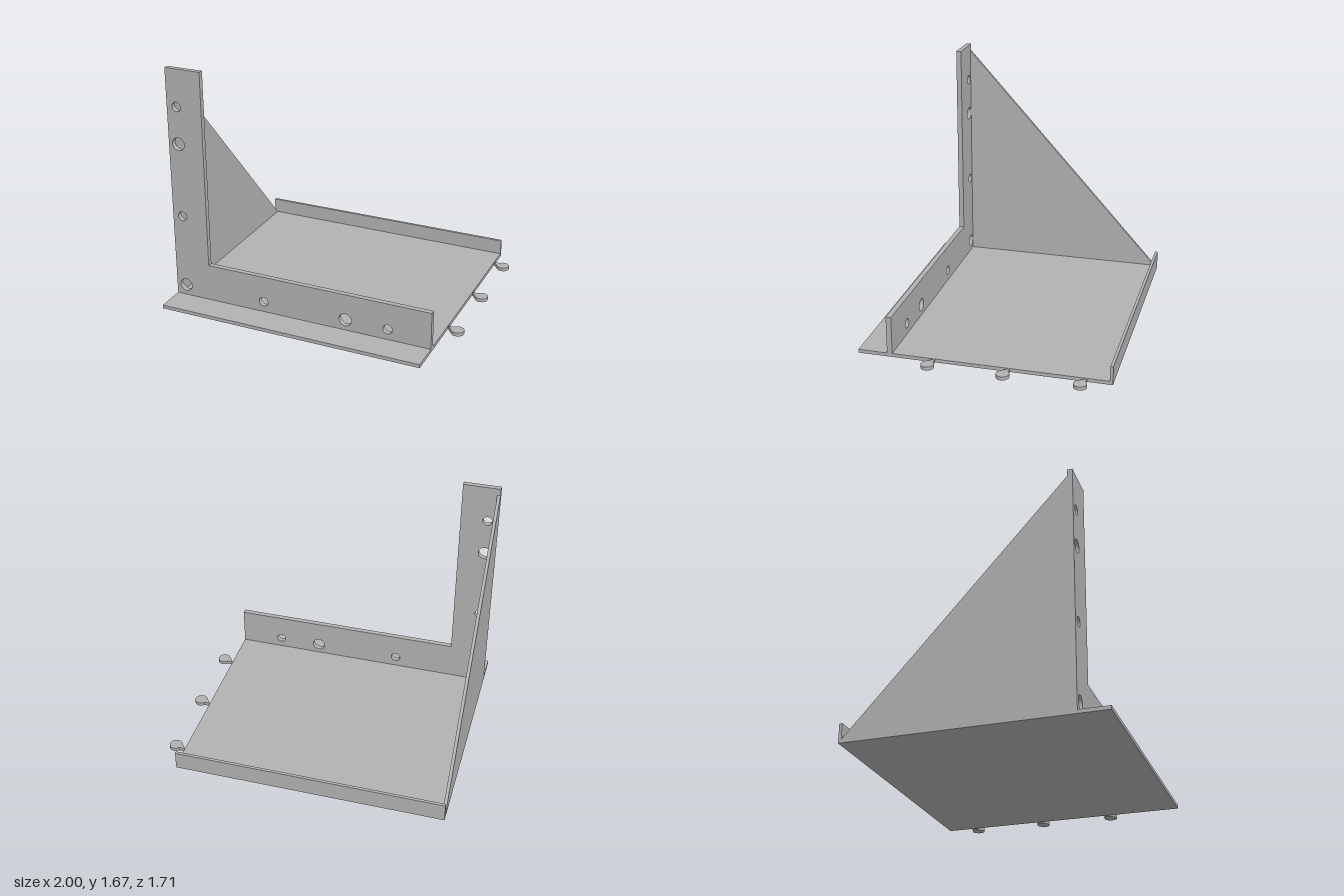
import * as THREE from 'three';
import { toCreasedNormals } from 'three/addons/utils/BufferGeometryUtils.js';

export function createModel() {
  const group = new THREE.Group();
  const grey = new THREE.MeshStandardMaterial({ color: 0xb2b2b2 });
  grey.name = 'grey';

  const T = 0.025; // floor thickness
  const left = -1, right = 0.88, depth = 0.855;
  const wallBack = 0.617, wallFront = 0.653;

  const add = (name, geometry) => {
    const mesh = new THREE.Mesh(geometry, grey);
    mesh.name = name;
    group.add(mesh);
    return mesh;
  };
  const box = (name, x0, x1, y0, y1, z0, z1) =>
    add(name, new THREE.BoxGeometry(x1 - x0, y1 - y0, z1 - z0))
      .position.set((x0 + x1) / 2, (y0 + y1) / 2, (z0 + z1) / 2);
  const polygon = (points) => new THREE.Shape(points.map(([x, y]) => new THREE.Vector2(x, y)));
  const extrude = (shape, thickness) => toCreasedNormals(
    new THREE.ExtrudeGeometry(shape, { depth: thickness, bevelEnabled: false, curveSegments: 24 }), 0.6);

  // Floor plate and low rear lip
  box('floorPlate', left, right, 0, T, -depth, depth);
  box('rearLip', left, right, T, 0.13, -depth, -0.835);

  // L-shaped front wall with drilled screw holes
  const wall = polygon([[left, T], [right, T], [right, 0.287], [-0.742, 0.287], [-0.742, 1.67], [left, 1.67]]);
  const holes = [
    [-0.928, 0.1, 0.045], [-0.928, 0.623, 0.033], [-0.928, 1.147, 0.045], [-0.928, 1.409, 0.033],
    [-0.326, 0.1, 0.033], [0.278, 0.1, 0.045], [0.579, 0.1, 0.033],
  ];
  for (const [x, y, r] of holes) {
    wall.holes.push(new THREE.Path().absarc(x, y, r, 0, Math.PI * 2, true));
  }
  add('frontWall', extrude(wall, wallFront - wallBack)).position.z = wallBack;

  // Triangular side brace, drawn in (z, y) and turned to stand along z
  const brace = polygon([[-0.835, T], [wallBack, T], [wallBack, 1.622]]);
  const braceWidth = 0.022;
  add('sideBrace', extrude(brace, braceWidth).rotateY(-Math.PI / 2)).position.x = left + braceWidth;

  // Round-headed connector tabs along one edge
  const centre = 0.956, radius = 0.044, neck = 0.028;
  const angle = Math.PI - Math.asin(neck / radius);
  const tab = new THREE.Shape();
  tab.moveTo(right, -neck);
  tab.absarc(centre, 0, radius, -angle, angle, false);
  tab.lineTo(right, neck);
  tab.closePath();
  const tabGeometry = extrude(tab, T).rotateX(-Math.PI / 2);
  for (const z of [-0.66, -0.155, 0.35]) add('connectorTab', tabGeometry).position.z = z;

  return group;
}
